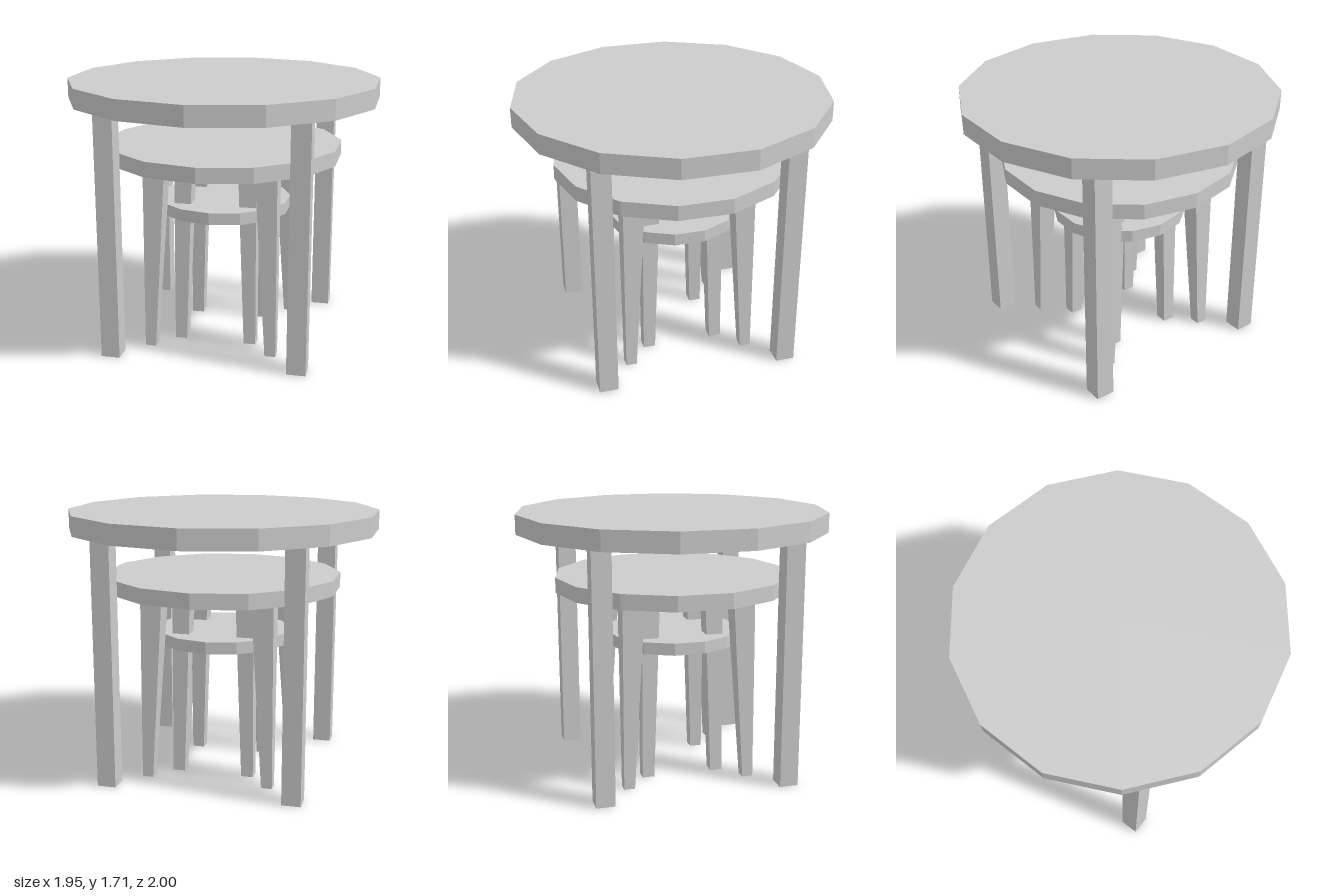
import * as THREE from 'three';

const material = new THREE.MeshStandardMaterial({ color: 0xcccccc, flatShading: true });

// Fourteen-sided slab with a corner facing the front
function makeTop(name, radius, bottom, top) {
  const geometry = new THREE.CylinderGeometry(radius, radius, top - bottom, 14);
  geometry.translate(0, (top + bottom) / 2, 0);
  const mesh = new THREE.Mesh(geometry, material);
  mesh.name = name;
  return mesh;
}

// Square leg; foot and head give the [inner, outer] distance from the centre planes
function makeLeg(name, height, foot, head, sx, sz) {
  const geometry = new THREE.BoxGeometry(1, height, 1);
  geometry.translate(0, height / 2, 0);
  const p = geometry.attributes.position;
  for (let i = 0; i < p.count; i++) {
    const [inner, outer] = p.getY(i) > height / 2 ? head : foot;
    const mid = (inner + outer) / 2;
    const width = outer - inner;
    p.setX(i, sx * mid + p.getX(i) * width);
    p.setZ(i, sz * mid + p.getZ(i) * width);
  }
  geometry.computeVertexNormals();
  const mesh = new THREE.Mesh(geometry, material);
  mesh.name = name;
  return mesh;
}

// One table of the nest: a top and four corner legs
function makeTable({ name, radius, bottom, top, legHeight, foot, head }) {
  const table = new THREE.Group();
  table.name = name;
  table.add(makeTop(name + 'Top', radius, bottom, top));
  for (const sx of [-1, 1]) {
    for (const sz of [-1, 1]) {
      const legName = name + (sz > 0 ? 'Front' : 'Back') + (sx > 0 ? 'Left' : 'Right') + 'Leg';
      table.add(makeLeg(legName, legHeight, foot, head, sx, sz));
    }
  }
  return table;
}

export function createModel() {
  const model = new THREE.Group();
  model.name = 'nestingTables';
  model.add(
    // Large table with straight legs
    makeTable({
      name: 'largeTable', radius: 1, bottom: 1.583, top: 1.708,
      legHeight: 1.583, foot: [0.535, 0.655], head: [0.535, 0.655],
    }),
    // Medium table with legs that taper to the foot
    makeTable({
      name: 'mediumTable', radius: 0.763, bottom: 1.205, top: 1.302,
      legHeight: 1.205, foot: [0.36, 0.43], head: [0.285, 0.425],
    }),
    // Small table, its legs running on up through the top
    makeTable({
      name: 'smallTable', radius: 0.437, bottom: 0.855, top: 0.932,
      legHeight: 1.205, foot: [0.192, 0.27], head: [0.148, 0.265],
    }),
  );
  return model;
}
